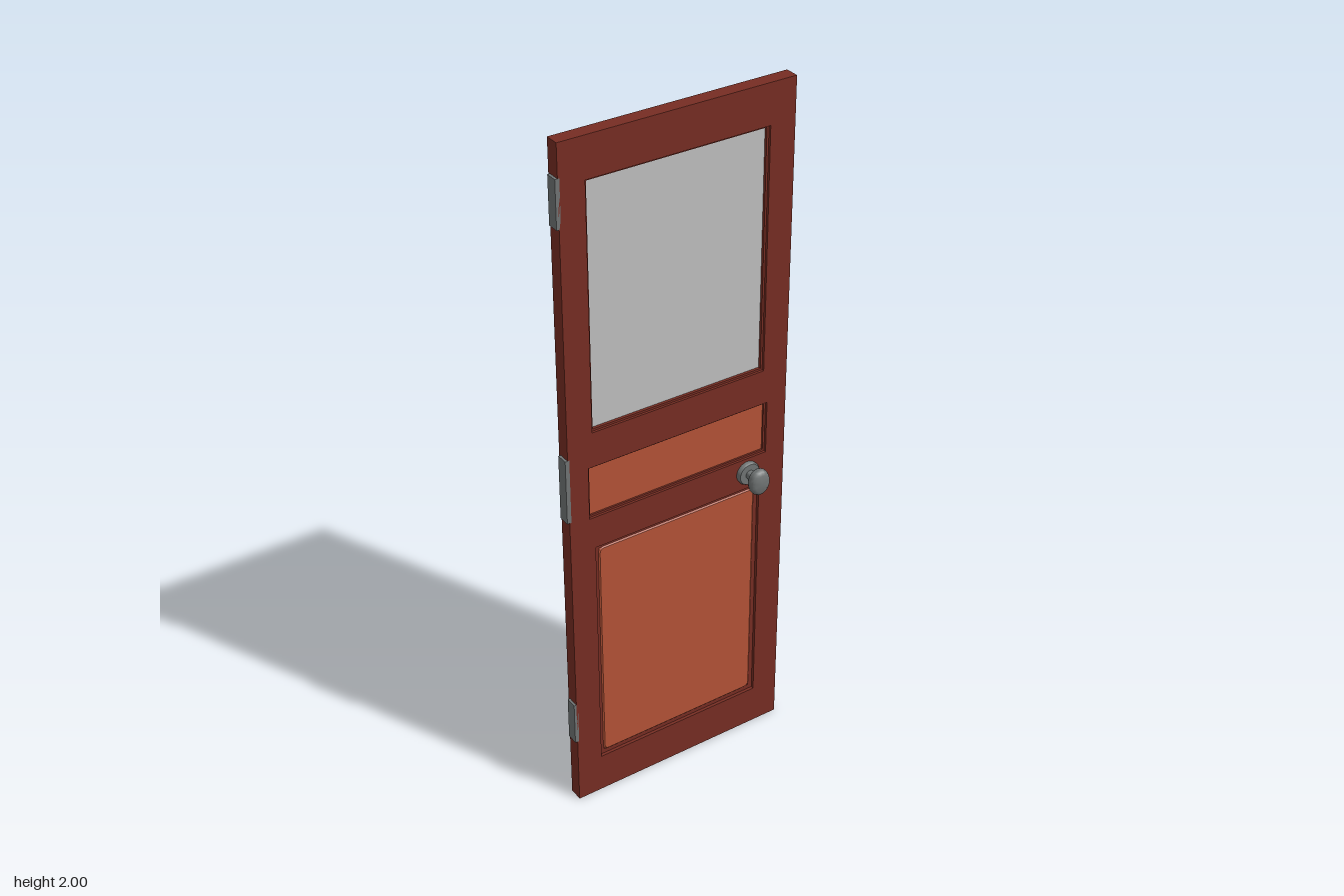
import * as THREE from 'three';
import { toCreasedNormals } from 'three/addons/utils/BufferGeometryUtils.js';

const material = (name, color) => {
  const m = new THREE.MeshStandardMaterial({ color });
  m.name = name;
  return m;
};

// Rectangle outline given by its edges, with optional rounded corners
function rect(PathType, [x0, x1, y0, y1], r = 0) {
  const p = new PathType();
  if (!r) {
    p.moveTo(x0, y0).lineTo(x1, y0).lineTo(x1, y1).lineTo(x0, y1).closePath();
    return p;
  }
  p.moveTo(x0 + r, y0).lineTo(x1 - r, y0).quadraticCurveTo(x1, y0, x1, y0 + r);
  p.lineTo(x1, y1 - r).quadraticCurveTo(x1, y1, x1 - r, y1);
  p.lineTo(x0 + r, y1).quadraticCurveTo(x0, y1, x0, y1 - r);
  p.lineTo(x0, y0 + r).quadraticCurveTo(x0, y0, x0 + r, y0);
  return p;
}
const inset = ([x0, x1, y0, y1], d) => [x0 + d, x1 - d, y0 + d, y1 - d];

export function createModel() {
  const door = new THREE.Group();
  door.name = 'door';
  const frameWood = material('dark red wood', 0x762d23);
  const panelWood = material('orange wood', 0xb35236);
  const glass = material('frosted glass', 0xbebebe);
  const metal = material('grey metal', 0x707474);
  const midZ = -0.0015;

  const add = (name, geometry, mat, parent = door) => {
    const mesh = new THREE.Mesh(geometry, mat);
    mesh.name = name;
    parent.add(mesh);
    return mesh;
  };
  // Flat slab centred in the thickness of the door
  const slab = (name, shape, depth, mat) => {
    const g = new THREE.ExtrudeGeometry(shape, { depth, bevelEnabled: false, curveSegments: 4 });
    add(name, g.translate(0, 0, midZ - depth / 2), mat);
  };

  // Openings: left, right, bottom, top
  const windowHole = [-0.26, 0.265, 1.196, 1.888];
  const middleHole = [-0.274, 0.279, 0.938, 1.094];
  const lowerHole = [-0.258, 0.26, 0.12, 0.842];

  // Stiles and rails
  const body = rect(THREE.Shape, [-0.333, 0.339, 0, 2]);
  for (const hole of [windowHole, middleHole, lowerHole]) body.holes.push(rect(THREE.Path, hole));
  slab('doorFrame', body, 0.04, frameWood);

  // Stepped mouldings around each opening
  const moulding = (name, hole, width, depth) => {
    const s = rect(THREE.Shape, inset(hole, -0.002));
    s.holes.push(rect(THREE.Path, inset(hole, width)));
    slab(name, s, depth, frameWood);
  };
  moulding('windowMoulding', windowHole, 0.006, 0.026);
  moulding('middleMoulding', middleHole, 0.006, 0.026);
  moulding('lowerMoulding', lowerHole, 0.014, 0.022);

  // Pane and wooden panels
  slab('windowPane', rect(THREE.Shape, windowHole), 0.01, glass);
  slab('middlePanel', rect(THREE.Shape, middleHole), 0.016, panelWood);
  const raised = new THREE.ExtrudeGeometry(rect(THREE.Shape, inset(lowerHole, 0.016), 0.014), {
    depth: 0.02, bevelThickness: 0.004, bevelSize: 0.005, bevelSegments: 1, curveSegments: 4,
  });
  add('lowerPanel', raised.translate(0, 0, midZ - 0.01), panelWood);

  // Hinges on the right edge
  for (const [bottom, top] of [[0.212, 0.344], [0.949, 1.139], [1.781, 1.911]]) {
    const g = new THREE.BoxGeometry(0.012, top - bottom, 0.033);
    add('hinge', g.translate(-0.334, (bottom + top) / 2, 0.002), metal);
  }

  // Knob, stem and rosette on both faces
  const turned = (points) => {
    const g = new THREE.LatheGeometry(points.map(([r, z]) => new THREE.Vector2(r, z)), 24);
    return toCreasedNormals(g.rotateX(Math.PI / 2), 0.7);
  };
  const rosette = turned([[0.034, 0.015], [0.034, 0.029], [0.031, 0.0335], [0, 0.0335]]);
  const stem = turned([[0.013, 0.03], [0.013, 0.062]]);
  const knob = turned([[0, 0.058], [0.026, 0.058], [0.035, 0.063], [0.039, 0.07],
    [0.039, 0.077], [0.035, 0.085], [0.026, 0.0895], [0, 0.0905]]).scale(0.79, 1, 1);
  for (const turn of [0, Math.PI]) {
    const handle = new THREE.Group();
    handle.name = turn ? 'backHandle' : 'frontHandle';
    add('rosette', rosette, metal, handle);
    add('stem', stem, metal, handle);
    add('knob', knob, metal, handle);
    handle.position.set(0.219, 0.895, midZ);
    handle.rotation.y = turn;
    door.add(handle);
  }
  return door;
}
